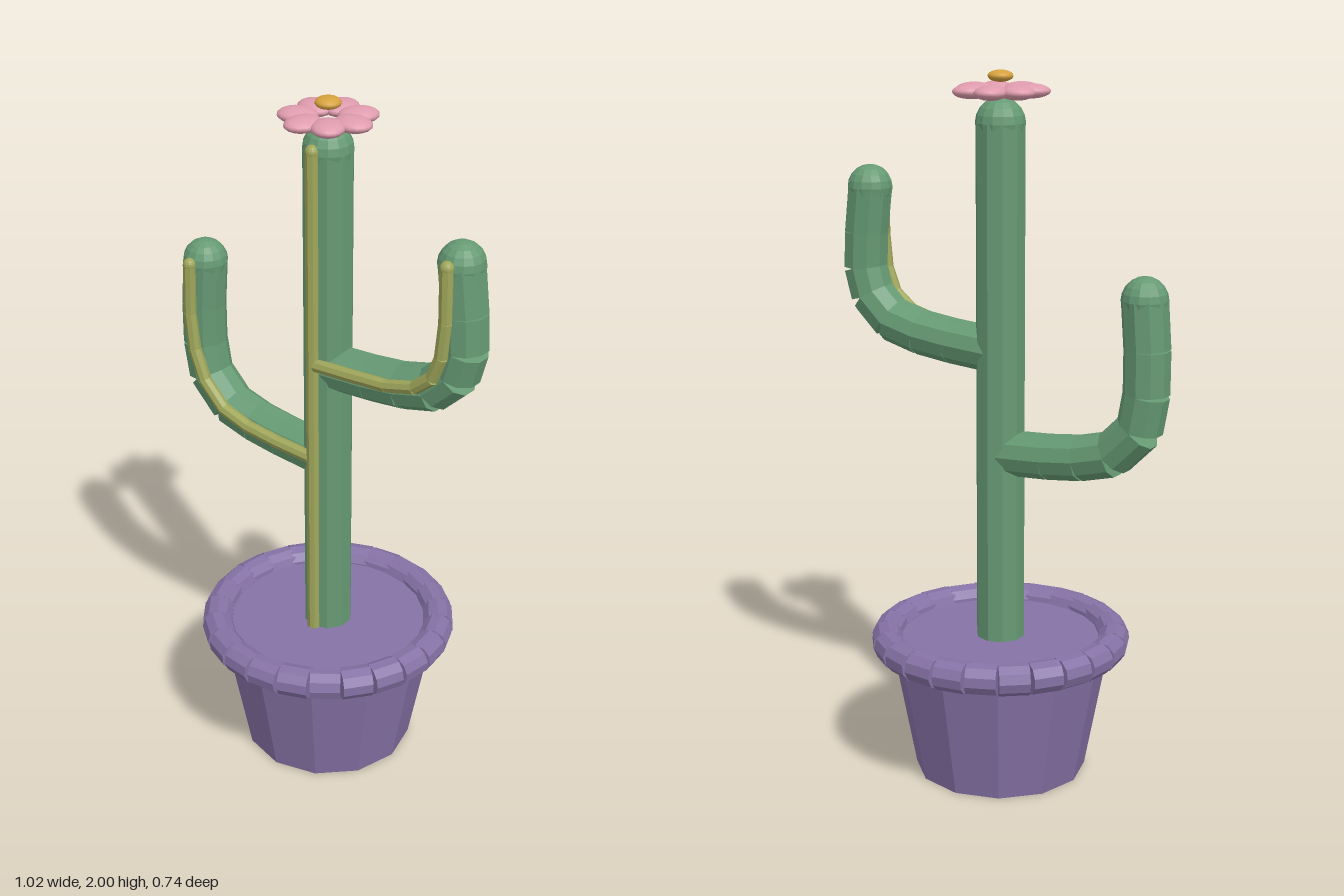
import * as THREE from 'three';

const mat = (name, color, flatShading = false) => {
  const m = new THREE.MeshStandardMaterial({ color, flatShading });
  m.name = name;
  return m;
};

export function createModel() {
  const purple = mat('purple clay', 0x8672a6, true);
  const green = mat('cactus green', 0x669a74, true);
  const olive = mat('rib olive', 0x9fa65a, true);
  const pink = mat('petal pink', 0xdf9cae);
  const gold = mat('flower gold', 0xd6a13e);

  const model = new THREE.Group();
  model.name = 'pottedCactus';

  const add = (parent, name, geometry, material, x = 0, y = 0, z = 0) => {
    const mesh = new THREE.Mesh(geometry, material);
    mesh.name = name;
    mesh.position.set(x, y, z);
    parent.add(mesh);
    return mesh;
  };

  // straight capped cylinder between two points
  const rod = (parent, name, a, b, r, sides, material) => {
    const dir = b.clone().sub(a);
    const mesh = add(parent, name, new THREE.CylinderGeometry(r, r, dir.length(), sides), material);
    mesh.position.copy(a).lerp(b, 0.5);
    mesh.quaternion.setFromUnitVectors(new THREE.Vector3(0, 1, 0), dir.normalize());
  };

  // chain of rods along a list of [x, y] points, with a round tip
  const chain = (name, points, z, r, sides, material) => {
    const group = new THREE.Group();
    group.name = name;
    model.add(group);
    const p = points.map(([x, y]) => new THREE.Vector3(x, y, z));
    for (let i = 1; i < p.length; i++) rod(group, name + 'Segment', p[i - 1], p[i], r, sides, material);
    const end = p[p.length - 1];
    add(group, name + 'Tip', new THREE.SphereGeometry(r, 14, 10), material, end.x, end.y, z);
    return group;
  };

  // pot
  add(model, 'pot', new THREE.CylinderGeometry(0.32, 0.245, 0.4, 12), purple, 0, 0.2, 0);

  // pot rim made of short straight rods
  const rim = new THREE.Group();
  rim.name = 'potRim';
  model.add(rim);
  const rimPoint = (i) => {
    const a = (i / 24) * Math.PI * 2;
    return new THREE.Vector3(Math.sin(a) * 0.326, 0.393, Math.cos(a) * 0.326);
  };
  for (let i = 0; i < 24; i++) rod(rim, 'rimSegment', rimPoint(i), rimPoint(i + 1), 0.045, 10, purple);

  // stem and its rib
  chain('stem', [[0, 0.39], [0, 1.86]], 0, 0.069, 10, green);
  chain('stemRib', [[0, 0.4], [0, 1.87]], 0.066, 0.019, 8, olive);

  // arms and their ribs
  chain('leftArm', [[0.02, 1.235], [0.155, 1.245], [0.26, 1.258], [0.36, 1.285],
    [0.428, 1.35], [0.45, 1.43], [0.445, 1.53], [0.43, 1.658]], 0, 0.064, 10, green);
  chain('leftArmRib', [[0.01, 1.262], [0.13, 1.27], [0.25, 1.28], [0.34, 1.305], [0.395, 1.35],
    [0.422, 1.42], [0.432, 1.52], [0.43, 1.67]], 0.066, 0.019, 8, olive);
  chain('rightArm', [[-0.02, 0.945], [-0.155, 0.953], [-0.258, 0.965], [-0.355, 0.99],
    [-0.435, 1.07], [-0.453, 1.17], [-0.453, 1.29], [-0.443, 1.422]], 0, 0.064, 10, green);
  chain('rightArmRib', [[-0.01, 0.967], [-0.13, 0.972], [-0.24, 0.983], [-0.33, 1.01], [-0.4, 1.08],
    [-0.435, 1.17], [-0.447, 1.28], [-0.443, 1.43]], 0.066, 0.019, 8, olive);

  // flower: seven flattened petals around a button
  const flower = new THREE.Group();
  flower.name = 'flower';
  flower.position.y = 1.945;
  model.add(flower);
  for (let i = 0; i < 7; i++) {
    const a = (i / 7) * Math.PI * 2;
    const petal = add(flower, 'petal', new THREE.SphereGeometry(1, 16, 12), pink,
      Math.cos(a) * 0.08, 0, -Math.sin(a) * 0.08);
    petal.scale.set(0.055, 0.02, 0.045);
    petal.rotation.y = a;
  }
  add(flower, 'flowerCentre', new THREE.SphereGeometry(0.035, 16, 12), gold, 0, 0.039, 0).scale.y = 0.46;

  return model;
}
